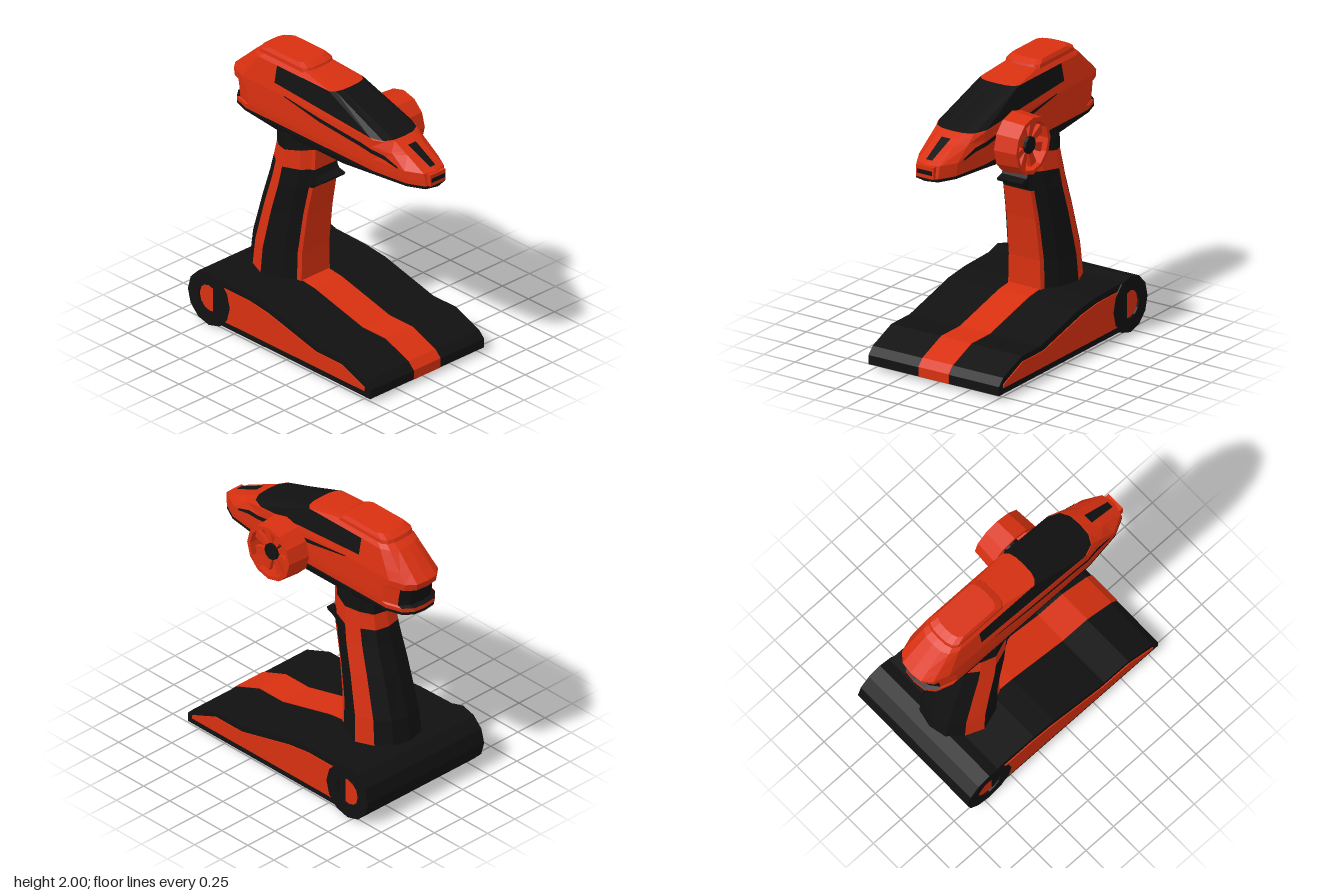
import * as THREE from 'three';

const red = new THREE.MeshStandardMaterial({ color: 0xd83010 });
red.name = 'red shell';
const black = new THREE.MeshStandardMaterial({ color: 0x111111, side: THREE.DoubleSide });
black.name = 'black plastic';

// Flat-shaded mesh
function part(name, geometry, material) {
  const g = geometry.index ? geometry.toNonIndexed() : geometry;
  g.computeVertexNormals();
  const m = new THREE.Mesh(g, material);
  m.name = name;
  return m;
}

// Mirror a half outline (front centre -> +x side -> back centre) to a full ring
function mirrorRing(half) {
  const other = half.slice(1, -1).reverse().map((p) => new THREE.Vector3(-p.x, p.y, p.z));
  return [...half, ...other];
}

// Skin half rings stacked upwards; isRed(band, segment) picks each face's colour
function loft(name, halves, isRed) {
  const rings = halves.map(mirrorRing), n = rings[0].length;
  const faces = { red: [], black: [] };
  const add = (key, ...pts) => pts.forEach((p) => faces[key].push(p.x, p.y, p.z));
  const last = rings.length - 1;
  for (let i = 0; i < n; i++) {
    const k = (i + 1) % n, j = i < n / 2 ? i : n - 1 - i;
    for (let b = 0; b < last; b++) {
      const [a, c] = [rings[b], rings[b + 1]];
      const key = isRed(b, j) ? 'red' : 'black';
      add(key, a[i], a[k], c[k], a[i], c[k], c[i]);
    }
    const cap = (r) => r[0].clone().lerp(r[n / 2], 0.5);
    add(isRed(0, 0) ? 'red' : 'black', cap(rings[0]), rings[0][k], rings[0][i]);
    add(isRed(last - 1, 0) ? 'red' : 'black', cap(rings[last]), rings[last][i], rings[last][k]);
  }
  const g = new THREE.BufferGeometry();
  g.setAttribute('position', new THREE.Float32BufferAttribute(faces.red.concat(faces.black), 3));
  g.addGroup(0, faces.red.length / 3, 0);
  g.addGroup(faces.red.length / 3, faces.black.length / 3, 1);
  return part(name, g, [red, black]);
}

// Extrude a [z, y] outline sideways from x0 to x1
function extrudeX(points, x0, x1) {
  const shape = new THREE.Shape(points.map(([z, y]) => new THREE.Vector2(-z, y)));
  return new THREE.ExtrudeGeometry(shape, { depth: x1 - x0, bevelEnabled: false })
    .rotateY(Math.PI / 2).translate(x0, 0, 0);
}

// Head outline at one height: rounded nose of length nl, rounded tail of length bl
function headRing([y, zf, zb, hw, nl, bl]) {
  const side = Math.max(-0.45, zb + bl + 0.03);
  return [
    [0, zf], [0.47, zf - 0.06 * nl], [0.8, zf - 0.35 * nl], [1, zf - nl], [1, side],
    [1, zb + bl], [0.8, zb + 0.35 * bl], [0.47, zb + 0.06 * bl], [0, zb],
  ].map(([f, z]) => new THREE.Vector3(f * hw, y, z));
}

function buildHead() {
  const head = new THREE.Group();
  head.name = 'head';
  const rings = [
    [1.44, 0.45, -0.5, 0.17, 0.25, 0.12],
    [1.49, 0.935, -0.9, 0.19, 0.42, 0.18],
    [1.51, 0.935, -0.9, 0.19, 0.42, 0.18],
    [1.54, 0.93, -0.9, 0.193, 0.42, 0.18],
    [1.55, 0.928, -0.865, 0.194, 0.42, 0.18],
    [1.6, 0.92, -0.87, 0.195, 0.42, 0.18],
    [1.68, 0.75, -0.885, 0.192, 0.25, 0.18],
    [1.69, 0.727, -0.92, 0.192, 0.23, 0.18],
    [1.74, 0.62, -0.93, 0.19, 0.12, 0.18],
    [1.92, 0.1, -0.73, 0.155, 0.05, 0.1],
    [1.96, -0.18, -0.65, 0.125, 0.05, 0.08],
  ].map(headRing);
  // Rising lower edge of the windows
  const sill = rings[8].map((p, i) => p.clone().lerp(rings[9][i], i < 3 ? 0.02 : i === 3 ? 0.04 : 0.33));
  const [low, high] = [rings[5], rings[8]];
  rings.splice(9, 0, sill);
  head.add(loft('headShell', rings, (b, j) => {
    if (b < 2) return false;
    if (b >= 3 && b <= 6) return j < 6;
    return !(b === 9 && j <= 3);
  }));

  // Raised roof cap
  head.add(loft('roofCap', [
    [1.95, -0.18, -0.68, 0.138, 0.04, 0.05],
    [1.975, -0.19, -0.67, 0.135, 0.04, 0.05],
    [2, -0.24, -0.61, 0.12, 0.04, 0.05],
  ].map(headRing), () => true));

  // Black plate on the sloping nose
  const plate = new THREE.ShapeGeometry(new THREE.Shape([
    [-0.024, 0.13], [0.024, 0.13], [0.036, 0.8], [-0.036, 0.8],
  ].map(([x, t]) => new THREE.Vector2(x, t))));
  const pos = plate.attributes.position;
  for (let i = 0; i < pos.count; i++) {
    const t = pos.getY(i);
    pos.setXYZ(i, pos.getX(i), 1.606 + 0.14 * t, 0.923 - 0.3 * t);
  }
  head.add(part('nosePlate', plate, black));

  // Front socket with slot
  head.add(part('socketFrame', new THREE.BoxGeometry(0.14, 0.085, 0.04).translate(0, 1.553, 0.915), red));
  head.add(part('socketSlot', new THREE.BoxGeometry(0.12, 0.03, 0.006).translate(0, 1.553, 0.935), black));

  // Side stripes following the shell: [z, bottom, top]
  const sideX = (y, z) => {
    const f = THREE.MathUtils.clamp((y - 1.6) / 0.14, 0, 1);
    const line = low.map((p, i) => p.clone().lerp(high[i], f));
    let i = 1;
    while (i < 5 && line[i + 1].z > z) i++;
    const t = (line[i].z - z) / (line[i].z - line[i + 1].z);
    return THREE.MathUtils.lerp(line[i].x, line[i + 1].x, t) + 0.006;
  };
  const path = [[0.72, 1.6, 1.612], [0.6, 1.63, 1.658], [0.4, 1.655, 1.685], [0, 1.685, 1.712], [-0.34, 1.741, 1.748]];
  for (const s of [1, -1]) {
    const v = [], idx = [];
    for (let k = 0; k <= 16; k++) {
      const a = Math.min(Math.floor(k / 4), 3), t = k / 4 - a;
      const [z, y0, y1] = path[a].map((q, c) => THREE.MathUtils.lerp(q, path[a + 1][c], t));
      v.push(s * sideX(y0, z), y0, z, s * sideX(y1, z), y1, z);
      const o = 2 * k;
      if (k < 16) idx.push(...(s > 0 ? [o, o + 2, o + 3, o, o + 3, o + 1] : [o, o + 3, o + 2, o, o + 1, o + 3]));
    }
    const g = new THREE.BufferGeometry();
    g.setAttribute('position', new THREE.Float32BufferAttribute(v, 3));
    g.setIndex(idx);
    head.add(part(s > 0 ? 'leftStripe' : 'rightStripe', g, black));
  }
  return head;
}

function buildGrip() {
  const grip = new THREE.Group();
  grip.name = 'grip';
  const outline = [[0, 0], [0.5, 0], [0.55, 0.06], [0.8, 0.2], [1, 0.5], [0.8, 0.75], [0.5, 0.95], [0, 1]];
  // [front y, back y, front z, back z, half width]
  const rings = [
    [0.33, 0.33, -0.24, -0.765, 0.262],
    [0.57, 0.57, -0.24, -0.735, 0.25],
    [0.87, 0.87, -0.2, -0.65, 0.232],
    [1.09, 1.08, -0.155, -0.585, 0.217],
    [1.23, 1.2, -0.14, -0.555, 0.207],
    [1.38, 1.31, -0.14, -0.53, 0.195],
    [1.47, 1.47, -0.14, -0.53, 0.19],
  ].map(([yf, yb, zf, zb, hw]) => outline.map(([x, f]) =>
    new THREE.Vector3(x * hw, yf + (yb - yf) * f, zf + (zb - zf) * f)));
  grip.add(loft('handle', rings, (b, j) => b === 4 || (b < 4 && j === 4) || (b < 3 && j <= 1)));
  grip.add(part('trigger', extrudeX([
    [-0.15, 1.24], [-0.12, 1.185], [-0.06, 1.17], [-0.07, 1.15], [-0.12, 1.13], [-0.17, 1.09],
  ], -0.1, 0.1), black));
  return grip;
}

function buildBase() {
  const base = new THREE.Group();
  base.name = 'base';
  const top = [[0.83, 0.035], [0.83, 0.1], [0.78, 0.15], [0.56, 0.235], [0.34, 0.235], [-0.12, 0.35], [-0.3, 0.37]];
  base.add(part('baseBody', extrudeX([...top, [-0.68, 0.38], [-0.68, 0.035]], -0.525, 0.525), black));
  // Red stripe over the front and top
  const under = top.map(([z, y]) => [z - 0.01, y - 0.005]).reverse();
  const over = top.map(([z, y], i) => [z + 0.003, y + (i ? 0.004 : 0)]);
  base.add(part('frontStripe', extrudeX([...over, ...under], -0.122, 0.122), red));
  // Rear barrel with recessed ends
  const barrel = new THREE.LatheGeometry([
    [0.1, -0.515], [0.1, -0.535], [0.2, -0.535], [0.2, 0.535], [0.1, 0.535], [0.1, 0.515],
  ].map(([r, y]) => new THREE.Vector2(r, y)), 12);
  base.add(part('rearBarrel', barrel.rotateZ(Math.PI / 2).translate(0, 0.2, -0.71), black));
  const panel = [[0.78, 0.08], [0.78, 0.105], [0.56, 0.195], [0.31, 0.195], [-0.14, 0.305], [-0.33, 0.33], [-0.58, 0.33], [-0.59, 0.08]];
  for (const s of [1, -1]) {
    base.add(part('sidePanel', extrudeX(panel, s > 0 ? 0.524 : -0.533, s > 0 ? 0.533 : -0.524), red));
    base.add(part('barrelDisc', new THREE.CylinderGeometry(0.1, 0.1, 0.008, 12)
      .rotateZ(Math.PI / 2).translate(s * 0.517, 0.2, -0.71), red));
  }
  return base;
}

function buildWheel() {
  const wheel = new THREE.Group();
  wheel.name = 'steeringWheel';
  wheel.position.set(0.208, 1.59, 0.21);
  const rim = new THREE.LatheGeometry([
    [0.214, 0], [0.202, 0.172], [0.175, 0.172], [0.185, 0], [0.214, 0],
  ].map(([r, y]) => new THREE.Vector2(r, y)), 12);
  wheel.add(part('rim', rim.rotateZ(-Math.PI / 2), red));
  for (let k = 0; k < 8; k++) {
    const spoke = extrudeX([[0.018, 0.05], [0.034, 0.184], [-0.034, 0.184], [-0.018, 0.05]], 0.1, 0.13);
    wheel.add(part('spoke', spoke.rotateX((k + 0.5) * Math.PI / 4), red));
  }
  wheel.add(part('hub', new THREE.CylinderGeometry(0.06, 0.06, 0.18, 10)
    .rotateZ(Math.PI / 2).translate(0.06, 0, 0), black));
  return wheel;
}

export function createModel() {
  const model = new THREE.Group();
  model.name = 'handheldController';
  model.add(buildBase(), buildGrip(), buildHead(), buildWheel());
  return model;
}
